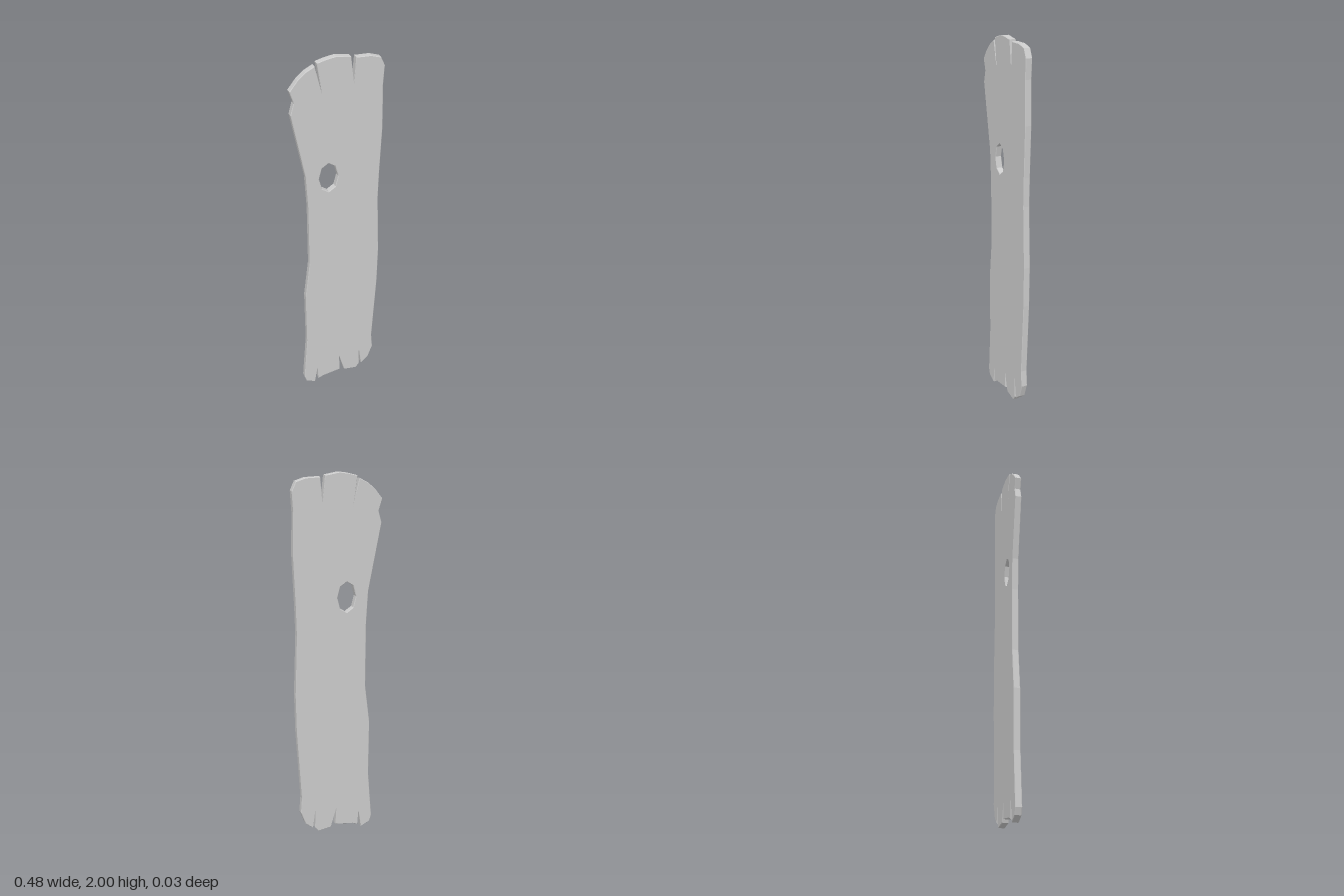
import * as THREE from 'three';

const DEPTH = 0.034;
const BEVEL = 0.003;

const toPoints = (pairs) => pairs.map(([x, y]) => new THREE.Vector2(x, y));

// Weathered top edge, left to right, with two splits
const topEdge = [
  [-0.24, 1.86], [-0.2, 1.91], [-0.16, 1.944], [-0.115, 1.967], [-0.082, 1.83], [-0.105, 1.98],
  [-0.06, 1.992], [-0.01, 2], [0.065, 1.988], [0.08, 1.855], [0.09, 1.982],
  [0.165, 1.98], [0.215, 1.965], [0.236, 1.92],
];
// Right side, downwards
const rightEdge = [
  [0.23, 1.82], [0.235, 1.6], [0.225, 1.34], [0.222, 1.19], [0.235, 0.865],
  [0.232, 0.65], [0.21, 0.255], [0.217, 0.165],
];
// Broken bottom edge, right to left, with three splits
const bottomEdge = [
  [0.19, 0.09], [0.147, 0.055], [0.132, 0.177], [0.135, 0.055], [0.115, 0.028],
  [0.04, 0.038], [0.008, 0.155], [0.013, 0.05], [-0.09, 0.033], [-0.122, 0.02],
  [-0.127, 0.11], [-0.143, 0.002], [-0.195, 0.025], [-0.207, 0.06],
];
// Left side, upwards
const leftEdge = [
  [-0.185, 0.335], [-0.187, 0.65], [-0.16, 0.865], [-0.16, 1.21], [-0.17, 1.39],
  [-0.238, 1.74], [-0.221, 1.8],
];

export function createModel() {
  const group = new THREE.Group();
  group.name = 'woodenPlank';

  const shape = new THREE.Shape(toPoints([...topEdge, ...rightEdge, ...bottomEdge, ...leftEdge]));

  // Eight-sided knot hole
  const knot = [];
  for (let i = 0; i < 8; i++) {
    const a = (i / 8) * Math.PI * 2;
    knot.push([-0.05 + 0.051 * Math.cos(a), 1.37 + 0.081 * Math.sin(a)]);
  }
  shape.holes.push(new THREE.Path(toPoints(knot)));

  // Thin board with slightly worn edges
  const geometry = new THREE.ExtrudeGeometry(shape, {
    depth: DEPTH - 2 * BEVEL,
    bevelEnabled: true,
    bevelThickness: BEVEL,
    bevelSize: BEVEL,
    bevelOffset: -BEVEL,
    bevelSegments: 1,
    curveSegments: 1,
  });
  geometry.translate(0, 0, -DEPTH / 2 + BEVEL);

  const board = new THREE.Mesh(
    geometry,
    new THREE.MeshStandardMaterial({ color: 0xcccccc, flatShading: true }),
  );
  board.name = 'board';
  group.add(board);
  return group;
}
